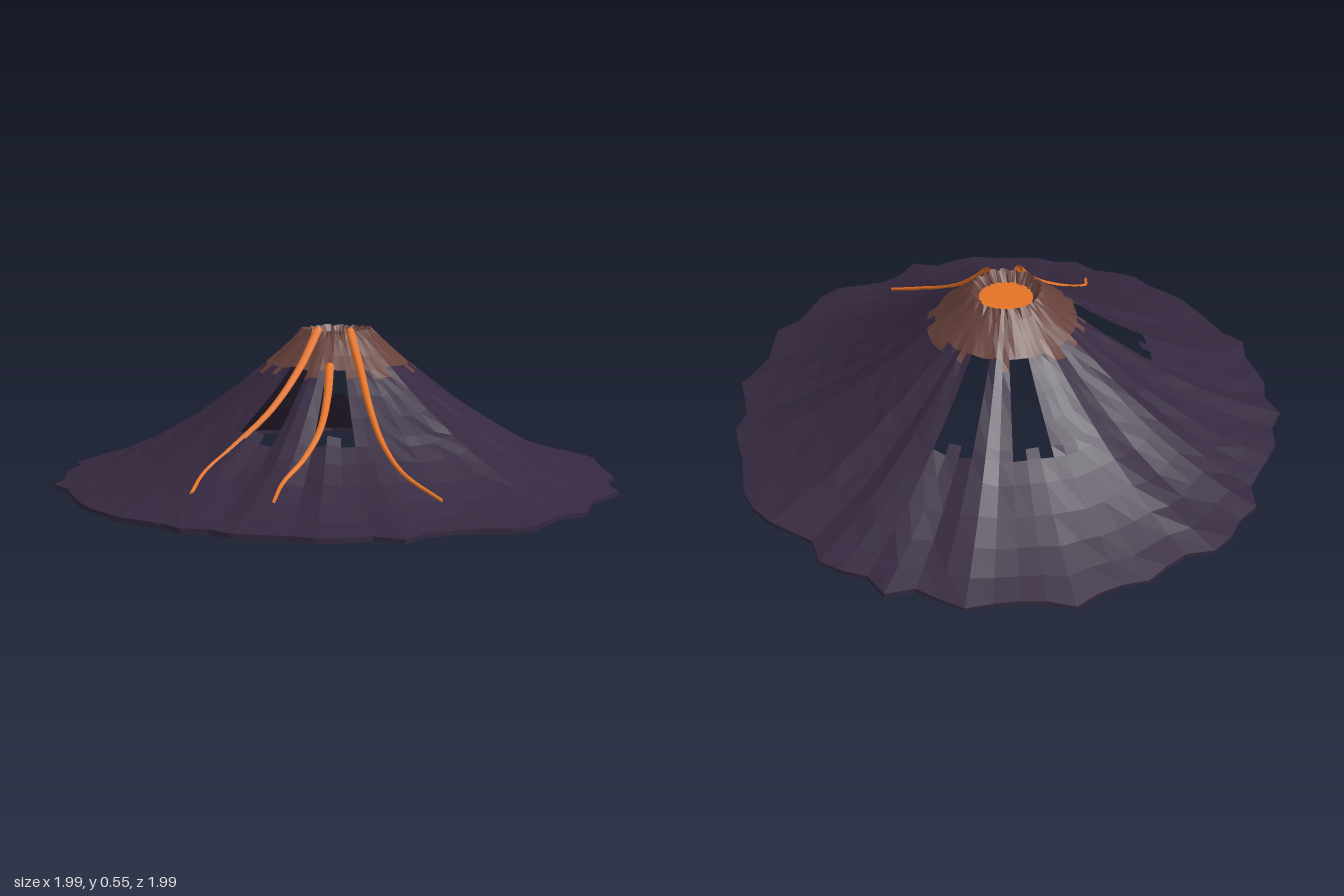
import * as THREE from 'three';

const COLUMNS = 72; // one column of rock every 5 degrees, starting at +z and turning to +x

const rock = new THREE.MeshStandardMaterial({ color: 0x35283f, flatShading: true, side: THREE.DoubleSide });
rock.name = 'darkRock';
const crust = new THREE.MeshStandardMaterial({ color: 0x66403a, flatShading: true, side: THREE.DoubleSide });
crust.name = 'scorchedRock';
const lava = new THREE.MeshStandardMaterial({ color: 0xe67426, side: THREE.DoubleSide });
lava.name = 'lava';

// Outer radius of each column, in hundredths
const EDGE = [
  97, 99, 98, 96, 101, 95, 94.5, 97, 101.5, 102, 99, 97.5, 101, 98, 95.5, 97, 100, 97,
  95, 98.5, 98, 97.5, 99, 101.5, 101.5, 100, 97, 95, 100, 99, 97, 101.5, 96, 98, 100.5, 98,
  97, 98, 101.5, 98, 97, 99, 97, 96.5, 101, 101, 99, 100.5, 95, 95.5, 97, 98.5, 97, 100.5,
  96, 98, 97, 96.5, 100, 96, 96, 96.5, 97.5, 97.5, 97, 98.5, 97, 95.5, 98.5, 96, 98, 97,
];

// Slope from the crater rim down to the foot: radius, height
const SLOPE = [
  [0.12, 0.538], [0.15, 0.51], [0.2, 0.462], [0.25, 0.418], [0.28, 0.393], [0.34, 0.343], [0.42, 0.282],
  [0.495, 0.23], [0.53, 0.207], [0.6, 0.164], [0.7, 0.112], [0.8, 0.07], [0.9, 0.038], [1, 0.015],
];
const CRUST_ROW = 3, HOLE_END_ROW = 8;
const HOLE_STARTS = [0, 30, 36, 54, 66]; // first column of each three-column gap

function seeded(seed) {
  return () => {
    seed = (seed * 16807) % 2147483647;
    return seed / 2147483647;
  };
}

function slopeHeight(r) {
  for (let i = 1; i < SLOPE.length; i++) {
    const [r0, y0] = SLOPE[i - 1], [r1, y1] = SLOPE[i];
    if (r <= r1) return y0 + (y1 - y0) * (r - r0) / (r1 - r0);
  }
  return 0;
}

function polar(column, r, y) {
  const a = column / COLUMNS * Math.PI * 2;
  return [r * Math.sin(a), y, r * Math.cos(a)];
}

function meshFrom(positions, material, name) {
  const geometry = new THREE.BufferGeometry();
  geometry.setAttribute('position', new THREE.Float32BufferAttribute(positions, 3));
  geometry.computeVertexNormals();
  const mesh = new THREE.Mesh(geometry, material);
  mesh.name = name;
  return mesh;
}

function addQuad(list, a, b, c, d) {
  list.push(...a, ...b, ...c, ...a, ...c, ...d);
}

// Cone of ridged columns with ragged gaps, a scorched cap and a crater wall
function buildMountain(group) {
  const random = seeded(4217);
  const grid = [], crater = [];
  for (let c = 0; c < COLUMNS; c++) {
    const ridge = (random() - 0.5) * 0.016 + 0.005 * Math.sin(c * 1.35);
    const rim = (random() - 0.5) * 0.014;
    grid.push(SLOPE.map(([r, y], row) => {
      const foot = Math.pow(r, 4);
      const bulge = Math.sin(Math.PI * Math.min(1, Math.max(0, (r - 0.12) / 0.88)));
      const radius = r * (1 + (EDGE[c] / 100 - 1) * foot) + (row === 0 ? rim : 0);
      const rough = (random() - 0.5) * 0.005;
      return polar(c, radius, y + ridge * bulge + (row === 0 ? rim * 0.6 : rough));
    }));
    grid[c].push(polar(c, EDGE[c] / 100, 0));
    crater.push(polar(c, 0.088 + (random() - 0.5) * 0.02, 0.495));
  }

  const rockFaces = [], crustFaces = [], wallFaces = [];
  for (let c = 0; c < COLUMNS; c++) {
    const next = (c + 1) % COLUMNS;
    const gap = HOLE_STARTS.some((start) => c >= start && c < start + 3);
    const crustEnd = CRUST_ROW + (!gap && random() > 0.45 ? 1 : 0);
    const gapEnd = HOLE_END_ROW - (c % 3 === 1 ? 1 : 0);
    for (let row = 0; row < SLOPE.length; row++) {
      if (gap && row >= crustEnd && row < gapEnd) continue;
      addQuad(row < crustEnd ? crustFaces : rockFaces,
        grid[c][row], grid[c][row + 1], grid[next][row + 1], grid[next][row]);
    }
    addQuad(wallFaces, crater[c], grid[c][0], grid[next][0], crater[next]);
  }
  group.add(meshFrom(rockFaces, rock, 'mountainSlope'));
  group.add(meshFrom(crustFaces, crust, 'scorchedCap'));
  group.add(meshFrom(wallFaces, crust, 'craterWall'));
}

// Tapered stream following the slope through the given x, z points
function buildStream(points, name) {
  const flat = new THREE.CatmullRomCurve3(points.map(([x, z]) => new THREE.Vector3(x, 0, z)));
  const curve = new THREE.CatmullRomCurve3(flat.getPoints(18).map((p) => {
    p.y = slopeHeight(Math.max(0.12, Math.hypot(p.x, p.z))) + 0.006;
    return p;
  }));
  const steps = 40, sides = 8;
  const geometry = new THREE.TubeGeometry(curve, steps, 0.016, sides);
  const position = geometry.attributes.position;
  const vertex = new THREE.Vector3();
  for (let i = 0; i <= steps; i++) {
    const centre = curve.getPointAt(i / steps);
    const scale = 1 - 0.65 * i / steps;
    for (let j = 0; j <= sides; j++) {
      const k = i * (sides + 1) + j;
      vertex.fromBufferAttribute(position, k).sub(centre).multiplyScalar(scale).add(centre);
      position.setXYZ(k, vertex.x, vertex.y, vertex.z);
    }
  }
  geometry.computeVertexNormals();
  const mesh = new THREE.Mesh(geometry, lava);
  mesh.name = name;
  return mesh;
}

export function createModel() {
  const group = new THREE.Group();
  group.name = 'volcano';
  buildMountain(group);

  // Lava surface inside the crater
  const pool = new THREE.Mesh(new THREE.CircleGeometry(0.095, 36), lava);
  pool.name = 'lavaPool';
  pool.rotation.x = -Math.PI / 2;
  pool.position.y = 0.503;
  group.add(pool);

  // Streams running down the front
  group.add(buildStream([[-0.05, 0.11], [-0.1, 0.25], [-0.17, 0.38], [-0.27, 0.5], [-0.34, 0.6], [-0.355, 0.71]], 'rightStream'));
  group.add(buildStream([[0.01, 0.24], [0.02, 0.35], [0.015, 0.48], [-0.02, 0.6], [-0.065, 0.7], [-0.075, 0.79]], 'middleStream'));
  group.add(buildStream([[0.06, 0.11], [0.11, 0.22], [0.16, 0.35], [0.22, 0.48], [0.3, 0.59], [0.43, 0.68]], 'leftStream'));
  return group;
}
